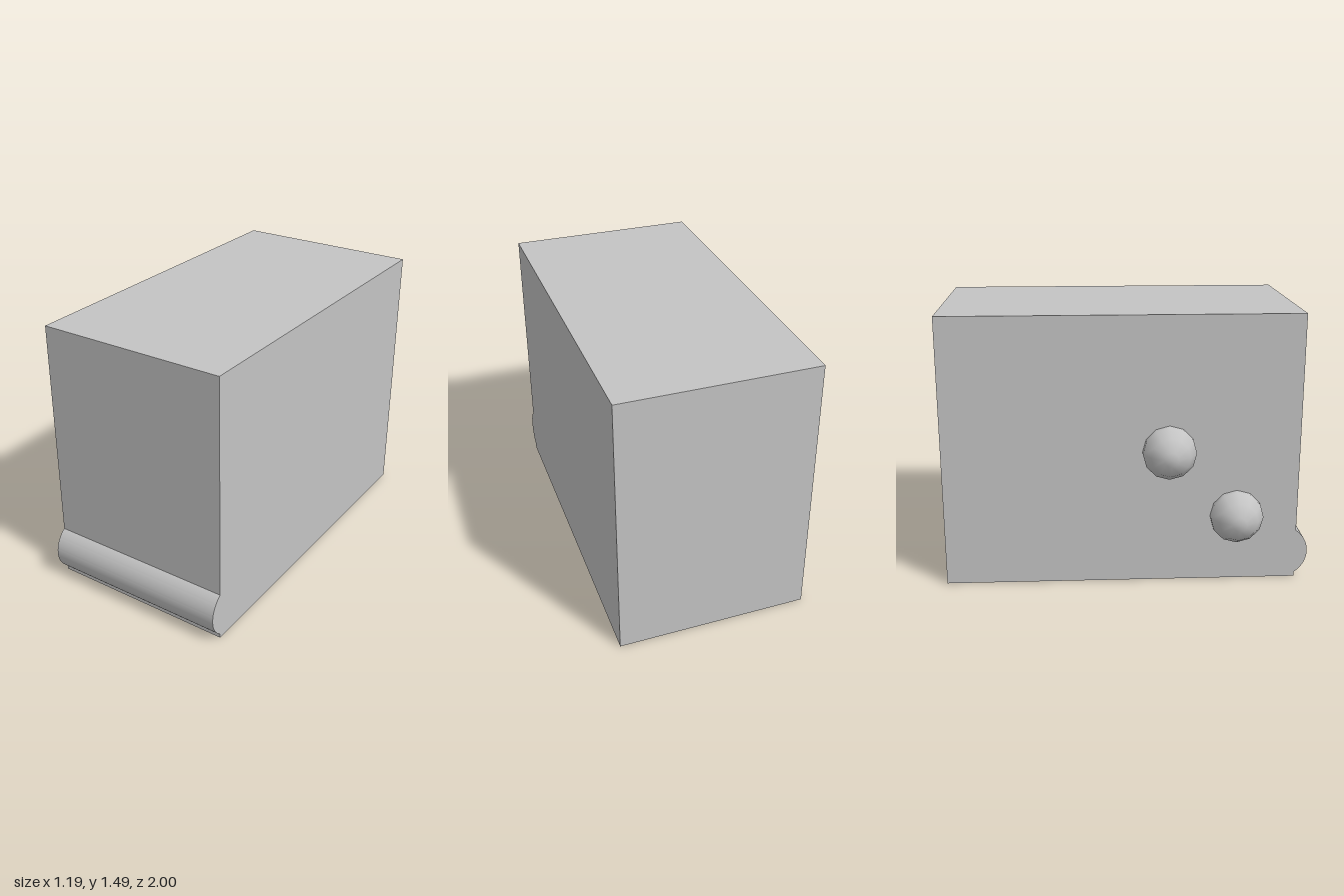
import * as THREE from 'three';
import { toCreasedNormals } from 'three/addons/utils/BufferGeometryUtils.js';

export function createModel() {
  const model = new THREE.Group();
  model.name = 'blockWithKnobs';

  const grey = new THREE.MeshStandardMaterial({ color: 0xc4c4c4 });
  grey.name = 'light grey';

  const left = 0.595, right = -0.45, front = 0.933, back = -1, height = 1.488;

  const add = (geometry, name) => {
    const mesh = new THREE.Mesh(geometry, grey);
    mesh.name = name;
    model.add(mesh);
    return mesh;
  };

  // Main block
  add(new THREE.BoxGeometry(left - right, height, front - back), 'body')
    .position.set((left + right) / 2, height / 2, (front + back) / 2);

  // Rounded roll along the lower front edge: a circular segment flush with the block's sides
  const rollRadius = 0.15, rollZ = 0.85, rollY = 0.15;
  const angle = Math.acos((front - rollZ) / rollRadius);
  const segment = new THREE.Shape();
  segment.absarc(rollZ, rollY, rollRadius, -angle, angle, false);
  segment.closePath();
  const roll = new THREE.ExtrudeGeometry(segment, {
    depth: left - right, bevelEnabled: false, curveSegments: 20,
  });
  roll.rotateY(-Math.PI / 2);
  roll.translate(left, 0, 0);
  add(toCreasedNormals(roll, Math.PI / 6), 'frontRoll');

  // Two faceted half-sphere knobs on the right side, with flat tips
  const knobRadius = 0.15;
  const profile = [new THREE.Vector2(knobRadius * Math.cos(Math.PI / 12), 0)];
  for (const degrees of [15, 45, 75]) {
    const a = THREE.MathUtils.degToRad(degrees);
    profile.push(new THREE.Vector2(knobRadius * Math.cos(a), knobRadius * Math.sin(a)));
  }
  profile.push(new THREE.Vector2(0, knobRadius * Math.sin(Math.PI * 75 / 180)));
  const knob = new THREE.LatheGeometry(profile, 12);
  knob.rotateZ(Math.PI / 2);
  add(knob, 'upperKnob').position.set(right, 0.745, 0.222);
  add(knob, 'lowerKnob').position.set(right, 0.373, 0.595);

  return model;
}
